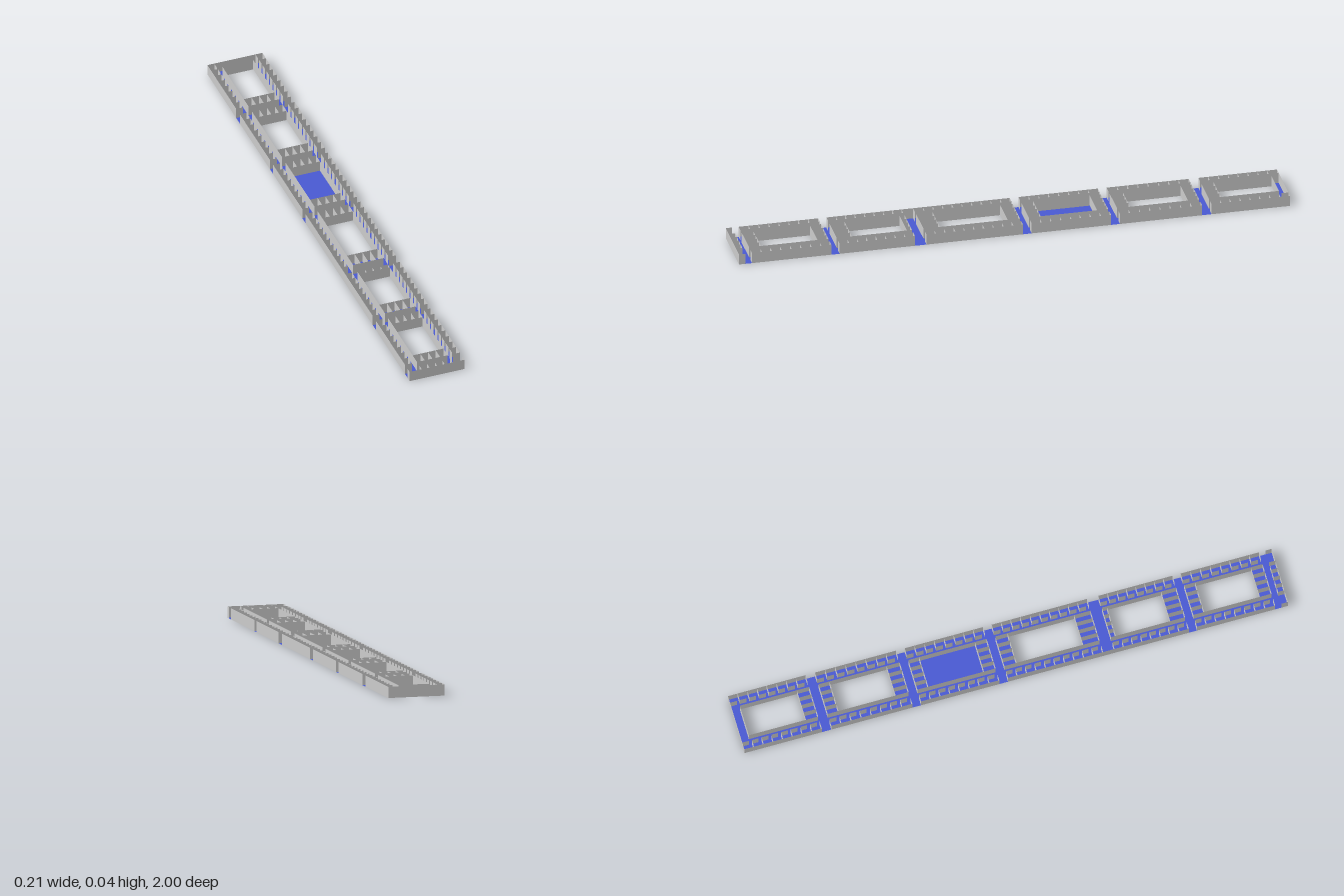
import * as THREE from 'three';
import { mergeGeometries } from 'three/addons/utils/BufferGeometryUtils.js';

const H = 0.04;       // wall height
const X = 0.104;      // outer face
const CELL = 0.078;   // inner face of the side cells
const YARD = 0.058;   // courtyard face

const grey = new THREE.MeshStandardMaterial({ color: 0xcccccc, side: THREE.DoubleSide });
const blue = new THREE.MeshStandardMaterial({ color: 0x4a5ad2, side: THREE.DoubleSide });

// Thin upright wall between two plan points
function wall(x0, z0, x1, z1) {
  const g = new THREE.PlaneGeometry(Math.hypot(x1 - x0, z1 - z0), H);
  g.rotateY(-Math.atan2(z1 - z0, x1 - x0));
  g.translate((x0 + x1) / 2, H / 2, (z0 + z1) / 2);
  return g;
}

function part(name, walls) {
  const m = new THREE.Mesh(mergeGeometries(walls), grey);
  m.name = name;
  return m;
}

// Side row of small rooms: partitions plus inner wall pieces with doorways
function sideRooms(s, z0, z1) {
  const out = [];
  const n = Math.round((z1 - z0) / 0.036), d = (z1 - z0) / n;
  for (let i = 0; i <= n; i++) {
    const z = z0 + i * d;
    out.push(wall(s * CELL, z, s * X, z));
    if (i < n) out.push(wall(s * CELL, z, s * CELL, z + d * 0.7));
  }
  return out;
}

// End row of rooms between the block end and the courtyard
function endRooms(z0, z1) {
  const out = [];
  for (let i = 0; i <= 4; i++) {
    const x = -YARD + (i * YARD) / 2;
    out.push(wall(x, z0, x, z1));
  }
  return out;
}

// zMin, zMax, courtyard zMin, zMax, courtyard open through the floor
const blocks = [
  [-1, -0.715, -0.97, -0.76, true],
  [-0.68, -0.382, -0.64, -0.43, true],
  [-0.35, -0.062, -0.31, -0.105, false],
  [-0.03, 0.32, 0.015, 0.26, true],
  [0.362, 0.635, 0.38, 0.58, true],
  [0.665, 0.953, 0.705, 0.91, true],
];

export function createModel() {
  const model = new THREE.Group();

  // Floor with courtyard openings
  const plan = new THREE.Shape([[-X, -1], [X, -1], [X, 1], [-X, 1]].map(p => new THREE.Vector2(...p)));
  for (const [, , a, b, open] of blocks) {
    if (!open) continue;
    plan.holes.push(new THREE.Path(
      [[-YARD, a], [-YARD, b], [YARD, b], [YARD, a]].map(p => new THREE.Vector2(...p))));
  }
  const floor = new THREE.Mesh(new THREE.ShapeGeometry(plan).rotateX(Math.PI / 2), blue);
  floor.name = 'floor';
  model.add(floor);

  blocks.forEach(([z0, z1, a, b], i) => {
    const block = new THREE.Group();
    block.name = 'block' + (i + 1);
    const outer = [], rooms = [];
    for (const s of [-1, 1]) {
      outer.push(wall(s * X, z0, s * X, z1));
      rooms.push(...sideRooms(s, z0, z1));
    }
    // End walls leave the corridors open, except at the closed rear
    for (const z of [z0, z1]) {
      if (z === -1) outer.push(wall(-X, z, X, z));
      else {
        outer.push(wall(-YARD, z, YARD, z));
        rooms.push(...(z === z0 ? endRooms(z0, a) : endRooms(b, z1)));
      }
    }
    block.add(
      part('outerWalls', outer),
      part('roomPartitions', rooms),
      part('courtyardWalls', [
        wall(-YARD, a, YARD, a), wall(-YARD, b, YARD, b),
        wall(-YARD, a, -YARD, b), wall(YARD, a, YARD, b),
      ]));
    model.add(block);
  });

  // Side wall joining the fourth and fifth blocks
  model.add(part('linkWall', [wall(-X, 0.32, -X, 0.362)]));

  // Front wall with short returns and partitions behind it
  const front = [wall(-X, 1, X, 1)];
  for (const s of [-1, 1]) front.push(wall(s * X, 0.977, s * X, 1));
  for (let i = 0; i < 5; i++) {
    const x = -YARD + (i * YARD) / 2;
    front.push(wall(x, 0.977, x, 1));
    if (i < 4) front.push(wall(x, 0.977, x + 0.02, 0.977));
  }
  model.add(part('frontWall', front));
  return model;
}
